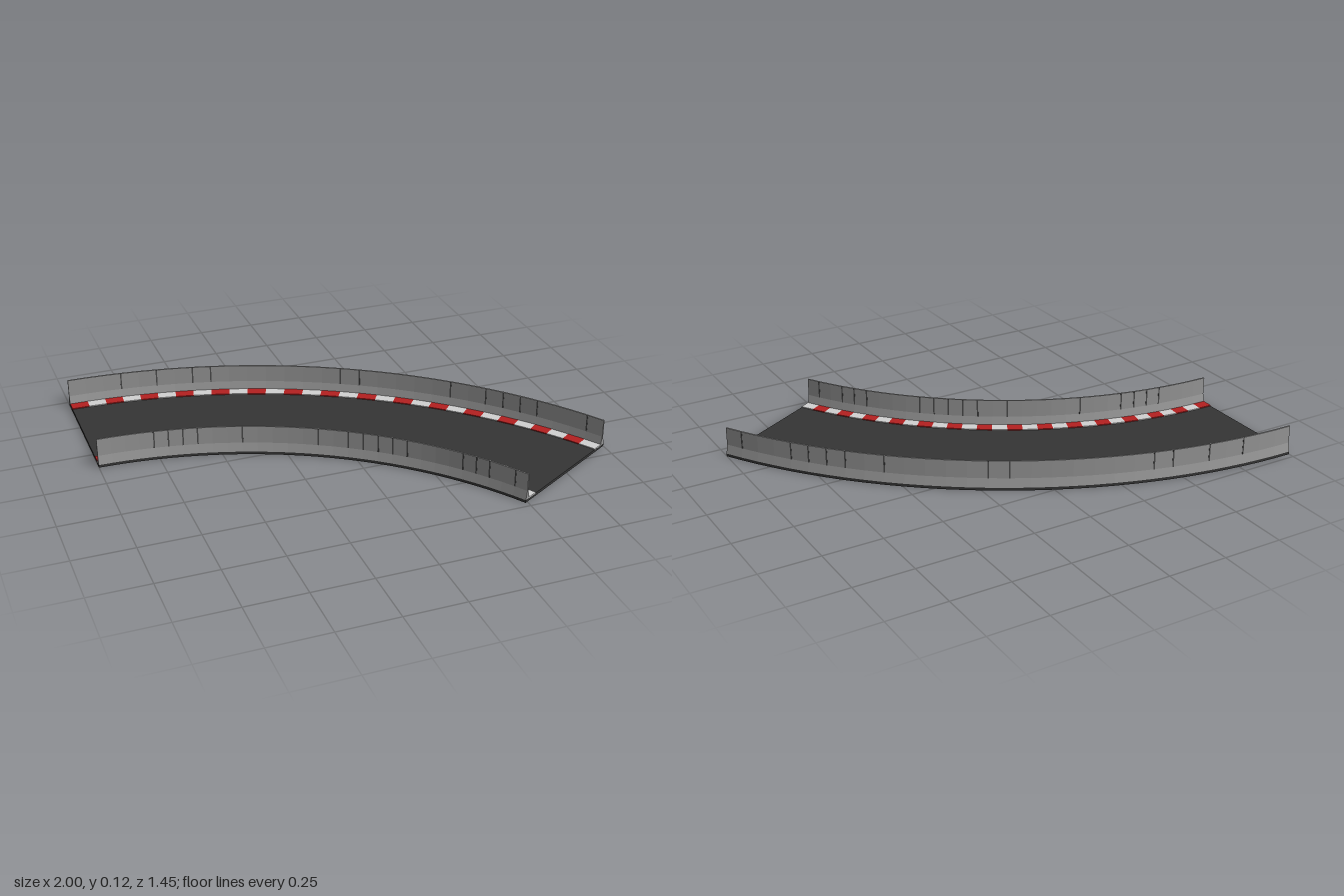
import * as THREE from 'three';

const STEPS = 30;             // arc divisions over the 60 degree bend
const CX = -1, CZ = 1.585;    // centre of the bend

// Angle at a (possibly fractional) division, slightly tighter near both ends
function angleAt(i) {
  const t = i / STEPS;
  return THREE.MathUtils.degToRad(60 * t - 0.4 * Math.sin(2 * Math.PI * t));
}

// Sweep convex counter-clockwise [radius, y] profiles between divisions
function sweep(profile, divisions) {
  const pos = [];
  const at = ([r, y], i) => {
    const a = angleAt(i);
    return [CX + r * Math.sin(a), y, CZ - r * Math.cos(a)];
  };
  const tri = (a, b, c) => pos.push(...a, ...b, ...c);
  const n = profile.length;
  for (let k = 0; k < divisions.length - 1; k++) {
    const d0 = divisions[k], d1 = divisions[k + 1];
    for (let j = 0; j < n; j++) {
      const p = profile[j], q = profile[(j + 1) % n];
      tri(at(p, d0), at(q, d0), at(q, d1));
      tri(at(p, d0), at(q, d1), at(p, d1));
    }
  }
  // End caps
  const first = divisions[0], last = divisions[divisions.length - 1];
  for (let j = 1; j < n - 1; j++) {
    tri(at(profile[0], last), at(profile[j], last), at(profile[j + 1], last));
    tri(at(profile[0], first), at(profile[j + 1], first), at(profile[j], first));
  }
  const geo = new THREE.BufferGeometry();
  geo.setAttribute('position', new THREE.Float32BufferAttribute(pos, 3));
  geo.computeVertexNormals();
  return geo;
}

const rect = (r0, r1, y0, y1) => [[r0, y0], [r1, y0], [r1, y1], [r0, y1]];

export function createModel() {
  const model = new THREE.Group();
  model.name = 'curvedRaceTrack';

  const material = (name, color) => {
    const m = new THREE.MeshStandardMaterial({ color });
    m.name = name;
    return m;
  };
  const asphalt = material('asphalt', 0x353535);
  const grey = material('barrierGrey', 0x969696);
  const dark = material('seamGrey', 0x4c4c4c);
  const red = material('kerbRed', 0xb52020);
  const white = material('kerbWhite', 0xd2d2d2);

  const add = (parent, name, geo, mat) => {
    const mesh = new THREE.Mesh(geo, mat);
    mesh.name = name;
    parent.add(mesh);
  };
  const whole = Array.from({ length: STEPS + 1 }, (_, i) => i);

  // Road slab
  add(model, 'road', sweep(rect(1.72, 2.31, 0, 0.012), whole), asphalt);

  // Kerbs, alternating red and white blocks
  for (const [side, r0, r1] of [['inner', 1.743, 1.791], ['outer', 2.239, 2.287]]) {
    const kerb = new THREE.Group();
    kerb.name = side + 'Kerb';
    for (let i = 0; i < STEPS; i++) {
      add(kerb, 'kerbBlock', sweep(rect(r0, r1, 0.011, 0.016), [i, i + 1]), i % 2 ? white : red);
    }
    model.add(kerb);
  }

  // Barriers: flared foot, thin upright wall and panel seams
  const barriers = [
    ['inner', 1.732, [4, 5, 6, 7, 10, 15, 17, 18, 19, 20, 21, 25, 26, 27, 29]],
    ['outer', 2.298, [3, 5, 7, 8, 15, 16, 21, 23, 24, 25, 26, 29]],
  ];
  for (const [side, r, seams] of barriers) {
    const barrier = new THREE.Group();
    barrier.name = side + 'Barrier';
    const foot = [[r - 0.012, 0.012], [r + 0.012, 0.012], [r + 0.0035, 0.05], [r - 0.0035, 0.05]];
    add(barrier, 'barrierFoot', sweep(foot, whole), grey);
    add(barrier, 'barrierWall', sweep(rect(r - 0.0035, r + 0.0035, 0.05, 0.125), whole), grey);
    for (const s of seams) {
      const w = 0.1 * 1.73 / r;
      add(barrier, 'panelSeam', sweep(rect(r - 0.0045, r + 0.0045, 0.05, 0.1245), [s - w / 2, s + w / 2]), dark);
    }
    model.add(barrier);
  }

  return model;
}
